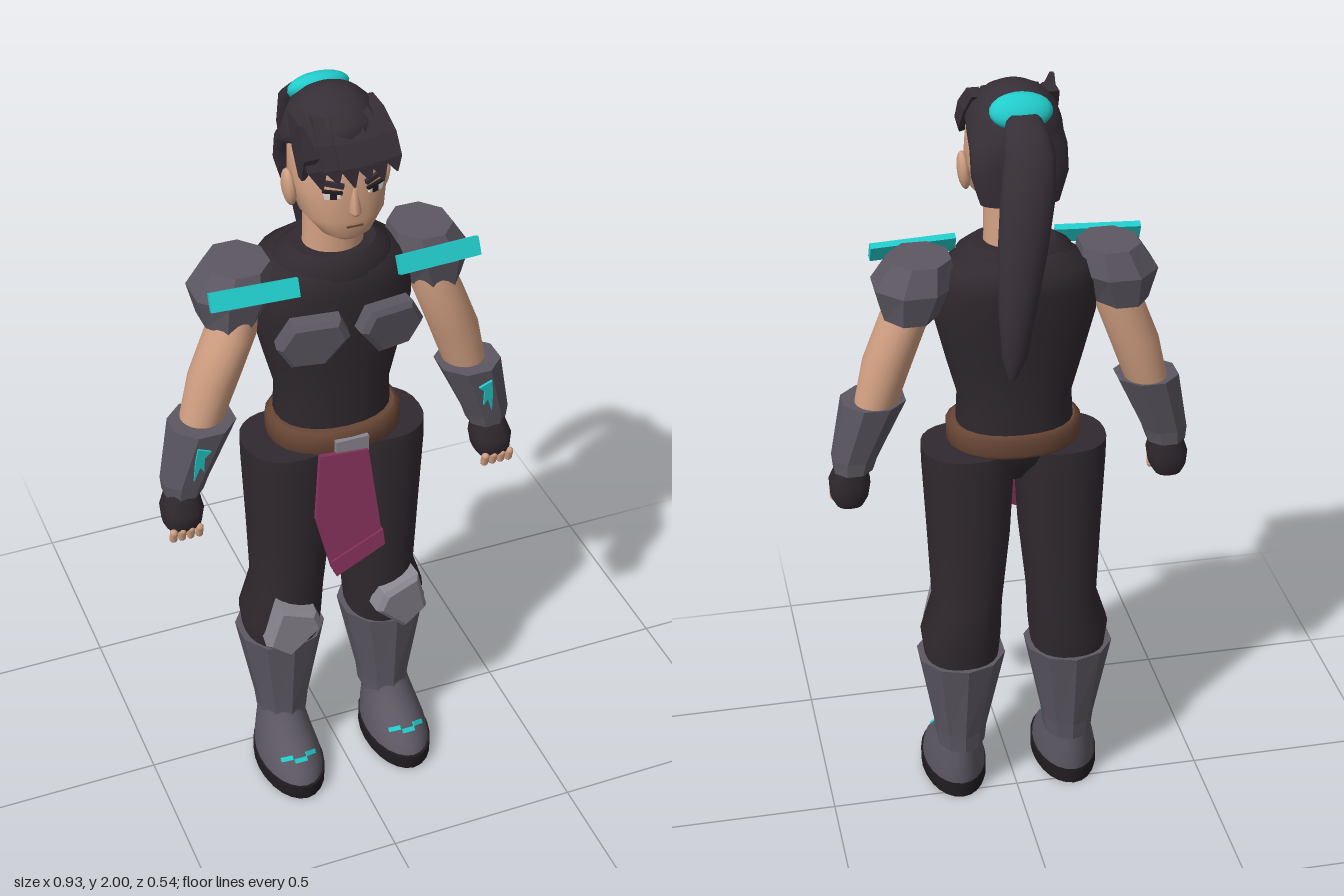
import * as THREE from 'three';

const mat = (name, color) => Object.assign(new THREE.MeshStandardMaterial({ color }), { name });

export function createModel() {
  const M = {
    hair: mat('hair', 0x372f37),
    cloth: mat('dark cloth', 0x30292f),
    skin: mat('skin', 0xd2a082),
    armour: mat('armour grey', 0x5c5762),
    steel: mat('light steel', 0x8a8690),
    cyan: mat('cyan trim', 0x22cccc),
    sash: mat('sash red', 0x86325a),
    belt: mat('belt brown', 0x684635),
    sole: mat('sole black', 0x211c21),
    white: mat('eye white', 0xe6ddd8),
  };
  const root = new THREE.Group();
  root.name = 'warrior';

  const add = (name, geo, material, pos = [0, 0, 0], rot = [0, 0, 0], parent = root) => {
    const m = new THREE.Mesh(geo, material);
    m.name = name;
    m.position.set(...pos);
    m.rotation.set(...rot);
    parent.add(m);
    return m;
  };

  // Horizontal cross-sections from bottom to top: [y, xMin, xMax, zMin, zMax]
  const loft = (sections, { n = 24, p = 2, flat = false } = {}) => {
    const pos = [], idx = [];
    const ring = ([y, x0, x1, z0, z1]) => {
      const start = pos.length / 3, k = flat ? 1 / Math.cos(Math.PI / n) : 1;
      for (let j = 0; j < n; j++) {
        const a = ((j + (flat ? 0.5 : 0)) / n) * Math.PI * 2;
        const e = (v) => Math.sign(v) * Math.abs(v) ** (2 / p) * k * 0.5;
        pos.push((x0 + x1) / 2 + e(Math.cos(a)) * Math.abs(x1 - x0), y, (z0 + z1) / 2 + e(Math.sin(a)) * (z1 - z0));
      }
      return start;
    };
    const rings = sections.map(ring);
    for (let i = 0; i + 1 < rings.length; i++)
      for (let j = 0; j < n; j++) {
        const a = rings[i] + j, b = rings[i] + (j + 1) % n;
        const c = rings[i + 1] + j, d = rings[i + 1] + (j + 1) % n;
        idx.push(a, c, b, b, c, d);
      }
    const bottom = ring(sections[0]), top = ring(sections[sections.length - 1]);
    for (let j = 1; j + 1 < n; j++) {
      idx.push(bottom, bottom + j, bottom + j + 1);
      idx.push(top, top + j + 1, top + j);
    }
    let g = new THREE.BufferGeometry();
    g.setAttribute('position', new THREE.Float32BufferAttribute(pos, 3));
    g.setIndex(idx);
    if (flat) g = g.toNonIndexed();
    g.computeVertexNormals();
    return g;
  };
  // Section symmetric about x = 0: [y, halfWidth, zMin, zMax]
  const sym = (rows, o) => loft(rows.map(([y, w, z0, z1]) => [y, -w, w, z0, z1]), o);

  // Extruded outline, mirrored by s, with an optional chamfer
  const plate = (pts, s, depth, bevel = 0) => new THREE.ExtrudeGeometry(
    new THREE.Shape(pts.map(([x, y]) => new THREE.Vector2(x * s, y))),
    { depth, bevelEnabled: bevel > 0, bevelSize: bevel, bevelOffset: -bevel, bevelThickness: bevel, bevelSegments: 1 });
  const box = (x, y, z) => new THREE.BoxGeometry(x, y, z);

  // Torso, collar, pelvis and belt
  add('torso', sym([[1.07, 0.15, -0.075, 0.15], [1.2, 0.143, -0.075, 0.15], [1.3, 0.17, -0.085, 0.155],
    [1.42, 0.2, -0.1, 0.16], [1.51, 0.198, -0.115, 0.165], [1.56, 0.17, -0.115, 0.15], [1.59, 0.11, -0.08, 0.125]], { p: 2.2 }), M.cloth);
  add('collar', sym([[1.55, 0.15, -0.08, 0.155], [1.585, 0.14, -0.07, 0.15], [1.605, 0.105, -0.045, 0.13]]), M.cloth);
  add('pelvis', sym([[0.96, 0.04, 0, 0.09], [1.02, 0.1, -0.05, 0.13], [1.08, 0.15, -0.07, 0.15]]), M.cloth);
  add('belt', sym([[1.06, 0.155, -0.075, 0.165], [1.072, 0.17, -0.085, 0.18], [1.115, 0.17, -0.085, 0.18],
    [1.126, 0.155, -0.075, 0.165]], { p: 2.2 }), M.belt);
  add('buckle', box(0.085, 0.05, 0.02), M.steel, [-0.003, 1.088, 0.18]);

  // Hanging sash with a folded lower hem
  const sash = new THREE.Group();
  sash.name = 'sash';
  sash.position.set(0, 1.08, 0.183);
  sash.rotation.x = -0.13;
  root.add(sash);
  add('sashCloth', plate([[-0.09, 0.005], [0.035, -0.005], [0.062, -0.27], [-0.075, -0.325], [-0.11, -0.17]], 1, 0.015), M.sash, [0, 0, 0], [0, 0, 0], sash);
  add('sashHem', plate([[-0.08, -0.3], [0.062, -0.24], [0.066, -0.285], [-0.066, -0.345]], 1, 0.024), M.sash, [0, 0, -0.004], [0, 0, 0], sash);

  // Neck, head and face
  add('neck', sym([[1.56, 0.078, -0.03, 0.115], [1.62, 0.072, -0.02, 0.11], [1.74, 0.072, -0.02, 0.115]]), M.skin);
  add('head', sym([[1.668, 0.035, 0.08, 0.16], [1.685, 0.062, 0.05, 0.178], [1.73, 0.098, 0, 0.185], [1.8, 0.112, -0.04, 0.18],
    [1.88, 0.108, -0.05, 0.17], [1.95, 0.075, -0.02, 0.13]], { p: 2.3 }), M.skin);
  add('nose', sym([[1.745, 0.008, 0.17, 0.193], [1.757, 0.015, 0.165, 0.204], [1.81, 0.006, 0.165, 0.183]], { n: 6 }), M.skin);
  add('mouth', box(0.04, 0.004, 0.006), M.belt, [0, 1.716, 0.182]);

  // Hair cap, fringe, ponytail and tie
  add('hairCap', sym([[1.73, 0.095, -0.075, 0.0], [1.8, 0.116, -0.08, 0.01], [1.86, 0.116, -0.083, 0.045], [1.885, 0.114, -0.083, 0.13],
    [1.91, 0.113, -0.08, 0.165], [1.95, 0.098, -0.064, 0.145], [1.98, 0.068, -0.03, 0.11], [1.994, 0.04, 0, 0.08], [2, 0.01, 0.03, 0.05]]), M.hair);
  for (let i = 0; i < 6; i++) {
    const x = -0.09 + i * 0.036, z = -0.018 * Math.abs(i - 2.5) / 2.5, tip = 1.822 + 0.012 * (i % 2);
    add('fringeLock', loft([[tip, x + 0.012, x + 0.016, 0.185 + z, 0.196 + z], [1.87, x - 0.02, x + 0.026, 0.13 + z, 0.192 + z],
      [1.92, x - 0.024, x + 0.022, 0.09 + z, 0.166 + z], [1.965, x - 0.02, x + 0.008, 0.06 + z, 0.125 + z]], { n: 4 , flat: true }), M.hair);
  }
  add('sideTuft', loft([[1.84, -0.116, -0.108, 0.13, 0.15], [1.9, -0.117, -0.08, 0.09, 0.17], [1.975, -0.117, -0.108, 0.13, 0.145]], { n: 4, flat: true }), M.hair);
  add('ponytail', loft([[1.375, 0.05, 0.07, -0.25, -0.225], [1.43, 0.025, 0.085, -0.265, -0.213], [1.55, 0.0, 0.092, -0.268, -0.195],
    [1.68, -0.03, 0.088, -0.248, -0.165], [1.8, -0.055, 0.075, -0.218, -0.13], [1.89, -0.06, 0.06, -0.185, -0.1],
    [1.93, -0.05, 0.05, -0.14, -0.06], [1.96, -0.035, 0.035, -0.09, -0.03]], { n: 16 }), M.hair);
  add('hairTie', new THREE.SphereGeometry(1, 20, 12), M.cyan, [0, 1.957, -0.045], [0.75, 0, 0]).scale.set(0.075, 0.046, 0.032);

  // Paired parts: s = 1 is the model's left, s = -1 its right
  for (const s of [1, -1]) {
    const side = new THREE.Group();
    side.name = s > 0 ? 'leftSide' : 'rightSide';
    root.add(side);
    const put = (name, geo, m, [x, y, z] = [0, 0, 0], [a, b, c] = [0, 0, 0]) =>
      add(name, geo, m, [x * s, y, z], [a, b * s, c * s], side);
    const limb = (rows, o) => loft(rows.map(([y, x0, x1, z0, z1]) => [y, x0 * s, x1 * s, z0, z1]), o);

    // Ear, eye and brow
    put('ear', new THREE.SphereGeometry(1, 12, 10), M.skin, [0.115, 1.778, 0.065], [0, 0, -0.1]).scale.set(0.016, 0.048, 0.029);
    put('eye', plate([[-0.02, -0.008], [0.016, -0.01], [0.022, 0.008], [-0.018, 0.004]], s, 0.006), M.white, [0.052, 1.803, 0.171], [0, 0.3, 0]);
    put('iris', box(0.015, 0.017, 0.006), M.sole, [0.05, 1.802, 0.177], [0, 0.3, 0]);
    put('upperLid', box(0.046, 0.006, 0.008), M.sole, [0.052, 1.811, 0.175], [0, 0.3, 0.15]);
    put('brow', box(0.055, 0.011, 0.009), M.hair, [0.052, 1.83, 0.173], [0, 0.3, 0.25]);

    // Chest plate
    put('chestPlate', plate([[-0.085, 0.015], [-0.06, 0.07], [0.055, 0.062], [0.09, -0.005], [0.052, -0.066], [-0.03, -0.064]], s, 0.03, 0.012),
      M.armour, [0.092, 1.413, 0.148], [0.12, 0.18, 0]);

    // Shoulder pad and its trim
    put('shoulderPad', limb([[1.44, 0.195, 0.325, -0.06, 0.115], [1.52, 0.15, 0.345, -0.078, 0.13], [1.585, 0.16, 0.303, -0.055, 0.105]],
      { n: 8, flat: true }), M.armour);
    put('shoulderTrim', box(0.212, 0.045, 0.018), M.cyan, [0.23, 1.557, 0.14], [-0.45, 0.07, 0.02]);

    // Arm, bracer, glove and fingers
    put('arm', limb([[1.0, 0.37, 0.44, 0.04, 0.11], [1.17, 0.295, 0.4, 0.005, 0.115], [1.3, 0.247, 0.372, -0.003, 0.128],
      [1.42, 0.202, 0.325, -0.005, 0.13], [1.52, 0.19, 0.28, 0, 0.11]]), M.skin);
    put('bracer', limb([[0.995, 0.357, 0.452, 0.03, 0.125], [1.03, 0.345, 0.455, 0.028, 0.13], [1.19, 0.27, 0.425, 0, 0.15]],
      { n: 8, flat: true }), M.armour);
    put('bracerMark', plate([[-0.018, 0.045], [0.018, 0.052], [0.014, 0.01], [0.002, -0.05], [-0.002, -0.005], [-0.016, -0.02], [-0.006, 0.025]], s, 0.007),
      M.cyan, [0.378, 1.105, 0.138], [0.125, 0, 0.25]);
    put('glove', limb([[0.893, 0.38, 0.45, 0.05, 0.125], [0.915, 0.367, 0.462, 0.04, 0.143], [0.955, 0.36, 0.465, 0.035, 0.145],
      [1.01, 0.37, 0.445, 0.04, 0.12]], { p: 2.5, n: 16 }), M.cloth);
    for (let i = 0; i < 4; i++)
      put('finger', new THREE.CapsuleGeometry(0.0105, 0.022, 3, 8), M.skin, [0.383 + i * 0.022, 0.9, 0.133], [0.25, 0, 0]);

    // Trouser leg, knee plate, shin guard
    put('trouserLeg', limb([[0.4, 0.05, 0.235, -0.06, 0.135], [0.5, 0.04, 0.247, -0.073, 0.15], [0.6, 0.036, 0.215, -0.072, 0.153],
      [0.8, 0.014, 0.224, -0.07, 0.157], [1, 0.002, 0.234, -0.07, 0.16], [1.056, 0.002, 0.235, -0.068, 0.155]], { p: 2.3 }), M.cloth);
    put('kneePlate', plate([[0.042, 0.095], [-0.055, 0.06], [-0.075, 0.005], [0.01, -0.088], [0.075, -0.035]], s, 0.04, 0.012),
      M.steel, [0.145, 0.515, 0.125], [0.08, 0.1, 0]);
    put('shinGuard', limb([[0.15, 0.085, 0.208, -0.03, 0.125], [0.2, 0.08, 0.213, -0.035, 0.127], [0.44, 0.032, 0.255, -0.075, 0.145]],
      { n: 10, flat: true }), M.armour);

    // Shoe, sole and toe trim
    put('shoe', limb([[0.04, 0.072, 0.236, -0.028, 0.265], [0.075, 0.075, 0.233, -0.028, 0.245], [0.12, 0.085, 0.222, -0.025, 0.19],
      [0.16, 0.092, 0.212, -0.022, 0.145], [0.195, 0.095, 0.205, -0.02, 0.125]]), M.armour);
    put('sole', limb([[0, 0.072, 0.236, -0.028, 0.265], [0.008, 0.068, 0.24, -0.03, 0.27], [0.045, 0.068, 0.24, -0.03, 0.27]]), M.sole);
    for (const d of [-1, 0, 1])
      put('toeTrim', box(0.034, 0.012, 0.009), M.cyan, [0.155 + d * 0.032, 0.098, 0.217 - Math.abs(d) * 0.017], [-0.7, d * 0.5, 0]);
  }
  return root;
}
